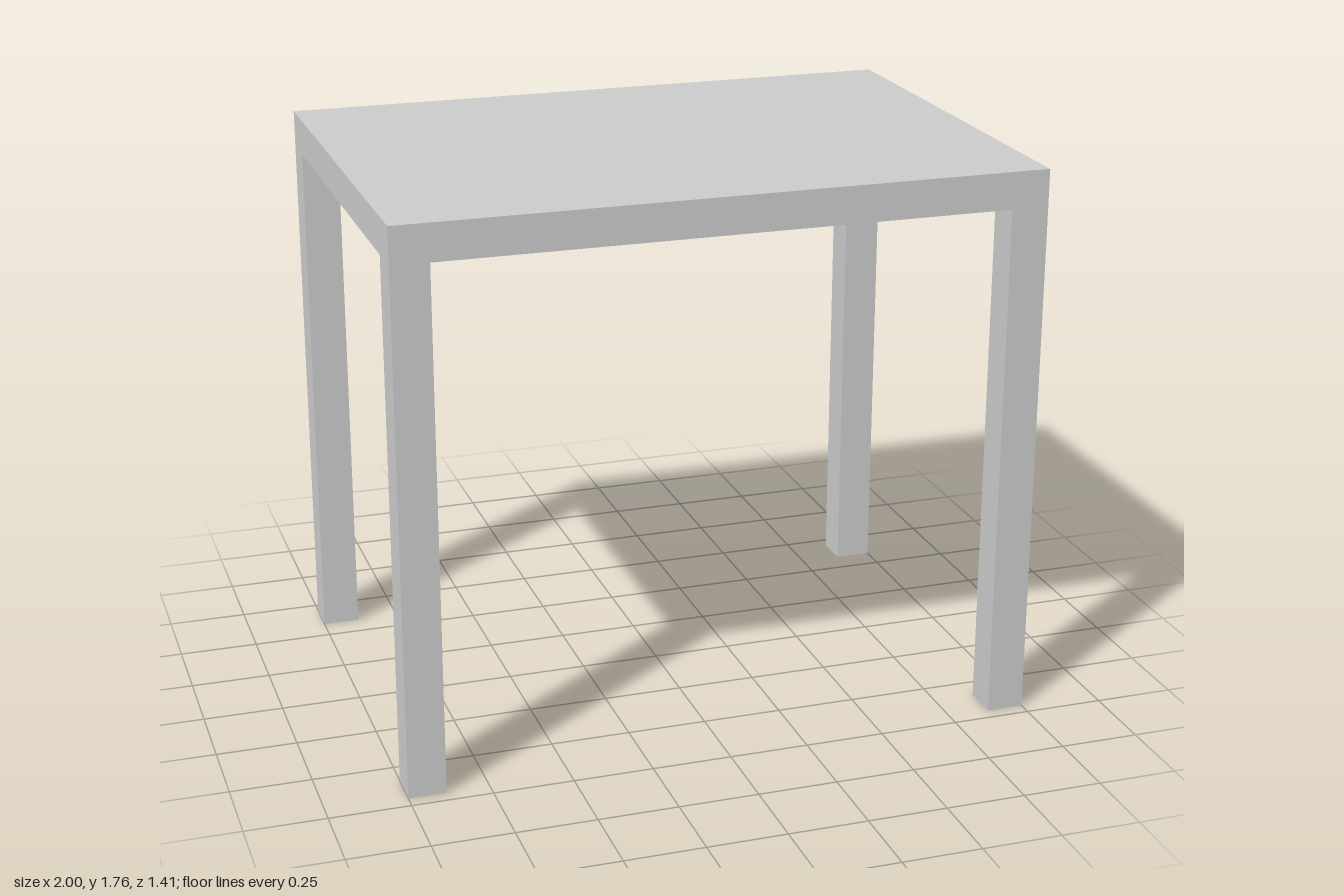
import * as THREE from 'three';

const WIDTH = 2, DEPTH = 1.41, HEIGHT = 1.765;
const TOP = 0.115; // slab thickness
const LEG = 0.117; // leg thickness

export function createModel() {
  const table = new THREE.Group();
  table.name = 'table';
  const material = new THREE.MeshStandardMaterial({ color: 0xcccccc });

  // Solid slab top
  const top = new THREE.Mesh(new THREE.BoxGeometry(WIDTH, TOP, DEPTH), material);
  top.name = 'tableTop';
  top.position.y = HEIGHT - TOP / 2;
  table.add(top);

  // Four square legs, flush with the corners of the top
  const legHeight = HEIGHT - TOP;
  const legGeometry = new THREE.BoxGeometry(LEG, legHeight, LEG);
  for (const [sideName, sx] of [['Left', 1], ['Right', -1]]) {
    for (const [endName, sz] of [['front', 1], ['back', -1]]) {
      const leg = new THREE.Mesh(legGeometry, material);
      leg.name = `${endName}${sideName}Leg`;
      leg.position.set(sx * (WIDTH - LEG) / 2, legHeight / 2, sz * (DEPTH - LEG) / 2);
      table.add(leg);
    }
  }
  return table;
}
